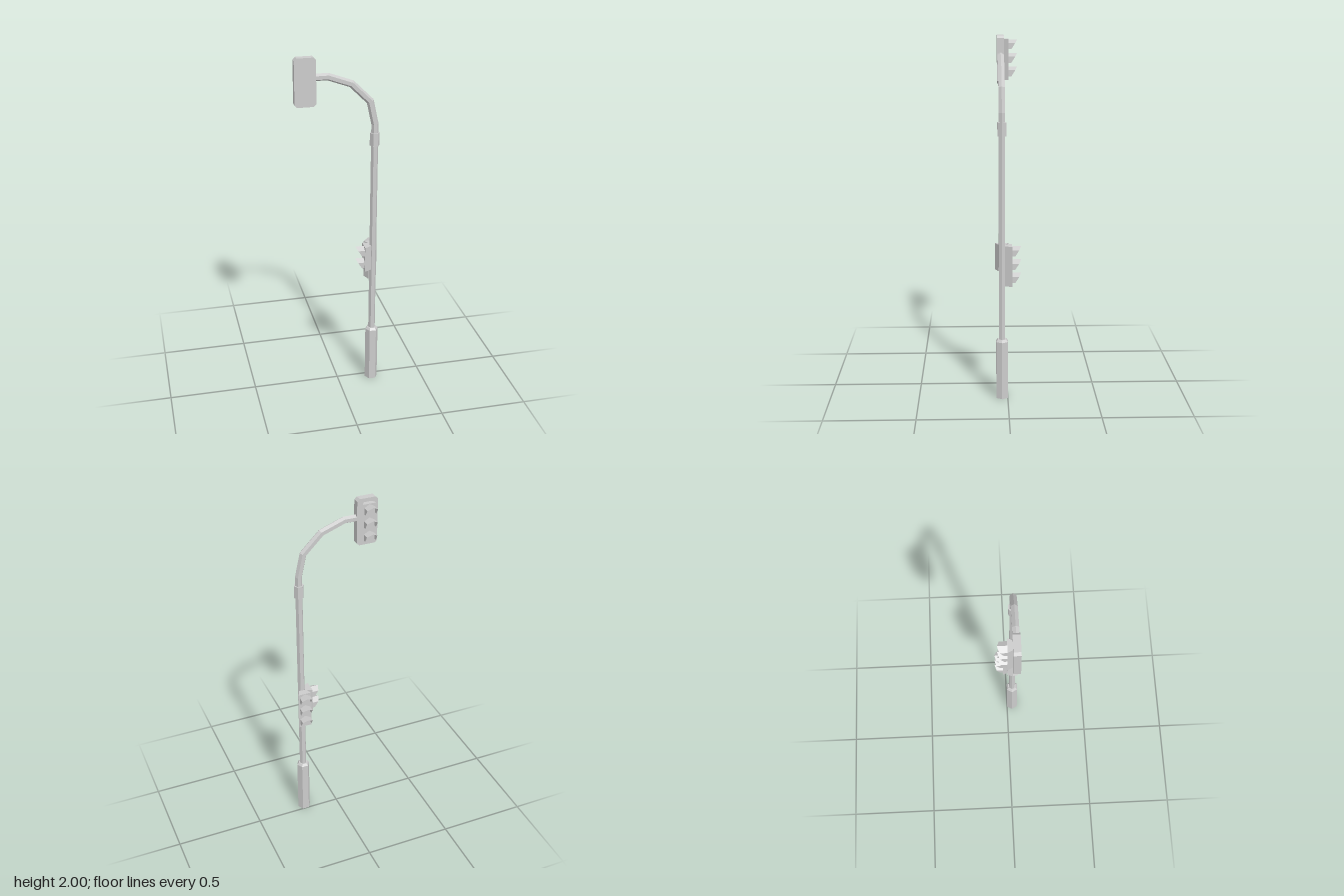
import * as THREE from 'three';

const material = new THREE.MeshStandardMaterial({ color: 0xcccccc, flatShading: true });
const openMaterial = new THREE.MeshStandardMaterial({ color: 0xcccccc, flatShading: true, side: THREE.DoubleSide });
const POLE_X = 0.201, POLE_Z = 0.032;

function add(parent, name, geometry, mat = material) {
  const mesh = new THREE.Mesh(geometry, mat);
  mesh.name = name;
  parent.add(mesh);
  return mesh;
}

// Hexagonal column section with corners pointing along x
function hexColumn(parent, name, rTop, rBottom, y0, y1) {
  const g = new THREE.CylinderGeometry(rTop, rBottom, y1 - y0, 6);
  g.rotateY(Math.PI / 6);
  add(parent, name, g).position.set(POLE_X, (y0 + y1) / 2, POLE_Z);
}

// Hexagonal tube swept with mitred joints along a path in the xy plane
function hexSweep(points, radius) {
  const pts = points.map(([x, y]) => new THREE.Vector2(x, y));
  const dir = (i) => pts[i + 1].clone().sub(pts[i]).normalize();
  const positions = [], index = [];
  pts.forEach((p, i) => {
    const a = dir(Math.max(i - 1, 0)), b = dir(Math.min(i, pts.length - 2));
    const t = a.clone().add(b).normalize();
    const stretch = 1 / t.dot(b);
    for (let k = 0; k < 6; k++) {
      const ang = k * Math.PI / 3, m = Math.cos(ang) * radius * stretch;
      positions.push(p.x + t.y * m, p.y - t.x * m, Math.sin(ang) * radius);
    }
  });
  for (let i = 0; i < pts.length - 1; i++) {
    for (let k = 0; k < 6; k++) {
      const a = i * 6 + k, b = i * 6 + (k + 1) % 6;
      index.push(a, a + 6, b, b, a + 6, b + 6);
    }
  }
  const g = new THREE.BufferGeometry();
  g.setAttribute('position', new THREE.Float32BufferAttribute(positions, 3));
  g.setIndex(index);
  const flat = g.toNonIndexed();
  flat.computeVertexNormals();
  return flat;
}

// Hood: upper four sides of a hexagon, cut obliquely at the front, open below
function hoodGeometry(radius, length) {
  const positions = [], index = [];
  for (let k = 0; k < 5; k++) {
    const a = (k - 2) * Math.PI / 3;
    const x = Math.sin(a) * radius, y = Math.cos(a) * radius;
    positions.push(x, y, 0, x, y, -(length - (radius - y) * 0.63));
    if (k < 4) index.push(2 * k, 2 * k + 1, 2 * k + 2, 2 * k + 2, 2 * k + 1, 2 * k + 3);
  }
  const g = new THREE.BufferGeometry();
  g.setAttribute('position', new THREE.Float32BufferAttribute(positions, 3));
  g.setIndex(index);
  const flat = g.toNonIndexed();
  flat.computeVertexNormals();
  return flat;
}

// Signal head facing -z with its front face at z = 0
function signal(name, lights, backHalfWidth, depth) {
  const group = new THREE.Group();
  group.name = name;
  const pitch = 0.0755, half = 0.0375;
  const body = new THREE.BoxGeometry(half * 2, pitch * lights, depth);
  const p = body.attributes.position;
  for (let i = 0; i < p.count; i++) {
    if (p.getZ(i) > 0) p.setX(i, Math.sign(p.getX(i)) * backHalfWidth);
  }
  body.translate(0, 0, depth / 2);
  body.computeVertexNormals();
  add(group, 'signalHousing', body);
  for (let i = 0; i < lights; i++) {
    add(group, 'lightHood', hoodGeometry(0.035, 0.049), openMaterial)
      .position.y = (i - (lights - 1) / 2) * pitch;
  }
  return group;
}

// Backing plate with chamfered corners
function plateGeometry(w, h, d, c) {
  const x = w / 2, y = h / 2;
  const shape = new THREE.Shape([
    [-x + c, -y], [x - c, -y], [x, -y + c], [x, y - c],
    [x - c, y], [-x + c, y], [-x, y - c], [-x, -y + c],
  ].map(([a, b]) => new THREE.Vector2(a, b)));
  return new THREE.ExtrudeGeometry(shape, { depth: d, bevelEnabled: false });
}

export function createModel() {
  const model = new THREE.Group();
  model.name = 'trafficLight';

  // Upright
  hexColumn(model, 'base', 0.0375, 0.0375, 0, 0.333);
  hexColumn(model, 'baseShoulder', 0.027, 0.0375, 0.333, 0.346);
  hexColumn(model, 'pole', 0.02, 0.02, 0.34, 1.52);
  hexColumn(model, 'collar', 0.0275, 0.0275, 1.487, 1.56);

  // Curved arm
  const arm = [[POLE_X, 1.52], [POLE_X, 1.61], [0.173, 1.739], [0.07, 1.842], [-0.058, 1.889], [-0.14, 1.889]];
  add(model, 'arm', hexSweep(arm, 0.02)).position.z = POLE_Z;

  // Overhead signal on its plate
  add(model, 'backingPlate', plateGeometry(0.117, 0.265, 0.038, 0.014)).position.set(-0.182, 1.8675, 0.0125);
  const overhead = signal('overheadSignal', 3, 0.024, 0.0275);
  overhead.position.set(-0.182, 1.866, -0.014);

  // Signals on the pole
  const rear = signal('poleSignal', 3, 0.019, 0.04);
  rear.position.set(POLE_X, 0.771, -0.024);
  const side = signal('sideSignal', 2, 0.019, 0.04);
  side.position.set(0.147, 0.81, POLE_Z);
  side.rotation.y = Math.PI / 2;
  model.add(overhead, rear, side);

  return model;
}
